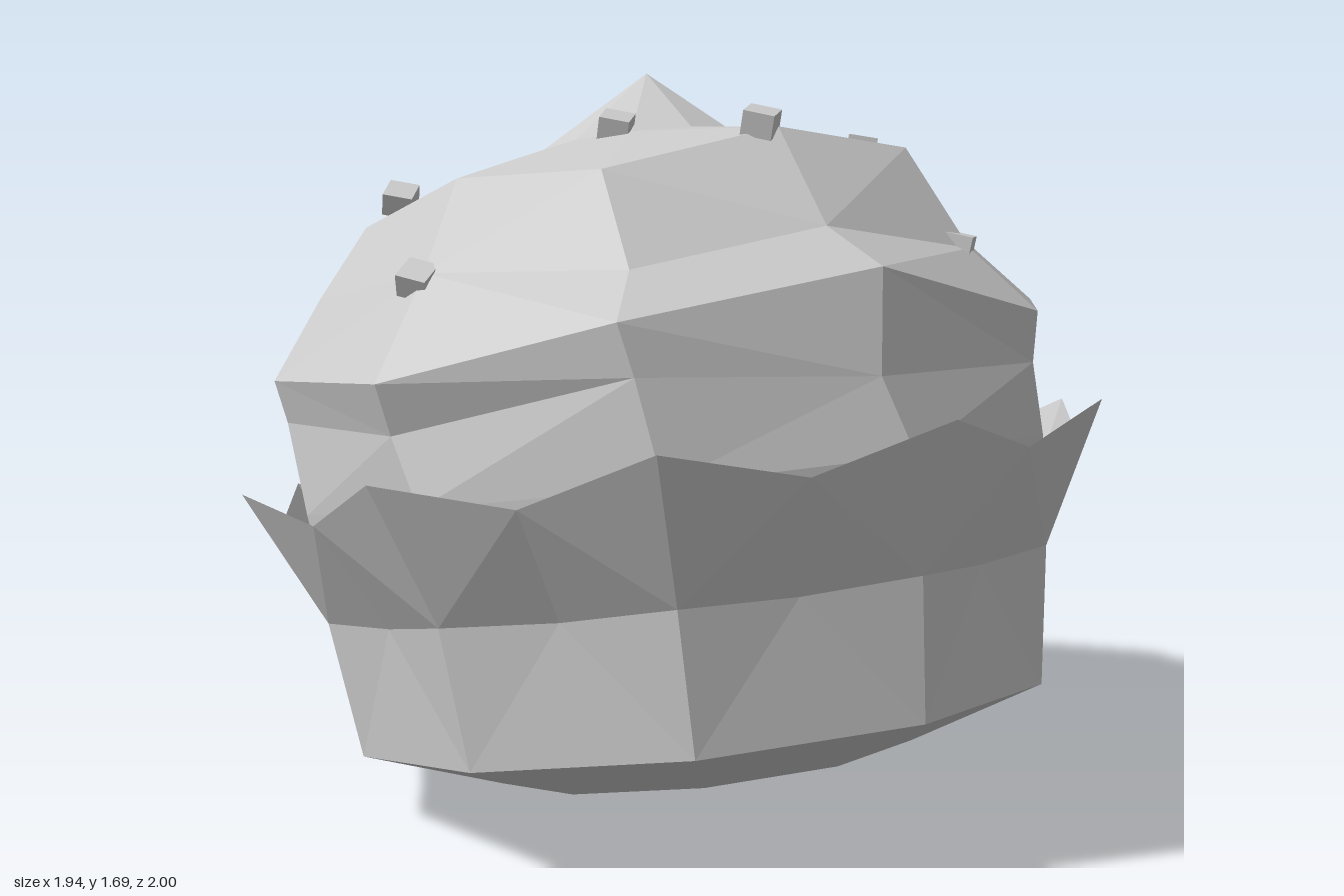
import * as THREE from 'three';

const grey = new THREE.MeshStandardMaterial({ color: 0xcccccc, flatShading: true });
const thin = new THREE.MeshStandardMaterial({ color: 0xcccccc, flatShading: true, side: THREE.DoubleSide });

// The whole cake leans backwards
const lean = new THREE.Matrix4().makeRotationX(-0.197).setPosition(0, 0.033, 0.167);

// Leaning ring of n corners, starting at the front and turning towards +x;
// odd corners can have their own radius and height
function ring(n, r, y, rOdd = r, yOdd = y) {
  return Array.from({ length: n }, (_, i) => {
    const a = (i / n) * Math.PI * 2, odd = i % 2, rad = odd ? rOdd : r;
    return new THREE.Vector3(Math.sin(a) * rad, odd ? yOdd : y, Math.cos(a) * rad).applyMatrix4(lean);
  });
}

const points = (list) => list.map((p) => new THREE.Vector3(...p));

// Skin joining equal-sized rings, listed from bottom to top
function loft(name, rings, material) {
  const pos = [];
  const n = rings[0].length;
  for (let k = 0; k < rings.length - 1; k++) {
    const lo = rings[k], up = rings[k + 1];
    for (let i = 0; i < n; i++) {
      const j = (i + 1) % n;
      // Split each quad along its shorter diagonal
      const quad = lo[i].distanceTo(up[j]) < lo[j].distanceTo(up[i])
        ? [lo[i], lo[j], up[j], lo[i], up[j], up[i]]
        : [lo[i], lo[j], up[i], lo[j], up[j], up[i]];
      for (const p of quad) pos.push(p.x, p.y, p.z);
    }
  }
  const g = new THREE.BufferGeometry();
  g.setAttribute('position', new THREE.Float32BufferAttribute(pos, 3));
  g.computeVertexNormals();
  const mesh = new THREE.Mesh(g, material);
  mesh.name = name;
  return mesh;
}

export function createModel() {
  const group = new THREE.Group();
  group.name = 'cupcake';

  // Paper wrapper: pleated sides flaring to a pointed zigzag edge
  const flat = Math.cos(Math.PI / 10);
  group.add(loft('wrapper', [
    ring(20, 0.001, 0.067),
    ring(20, 0.5, 0.067, 0.5 * flat),
    ring(20, 0.815, 0.178, 0.815 * flat),
    ring(20, 0.86, 0.49, 0.8, 0.48),
    ring(20, 1.02, 0.805, 0.95, 0.725),
  ], thin));

  // Uneven rings of the frosting swirl, from the underside of the overhang to the top edge
  const under = points([
    [-0.04, 1.09, 0.82], [0.5, 1.06, 0.7], [0.82, 0.98, 0.3], [0.86, 0.94, -0.26], [0.56, 0.79, -0.71],
    [0, 0.75, -0.87], [-0.48, 0.81, -0.71], [-0.82, 0.9, -0.37], [-0.85, 0.955, 0.2], [-0.545, 1.11, 0.66],
  ]);
  const wide = points([
    [0, 1.31, 0.77], [0.51, 1.175, 0.7], [0.84, 1.145, 0.33], [0.88, 1.04, -0.24], [0.58, 0.88, -0.76],
    [0, 0.81, -0.98], [-0.5, 0.89, -0.76], [-0.85, 1.0, -0.37], [-0.89, 1.07, 0.21], [-0.57, 1.22, 0.635],
  ]);
  const waist = points([
    [-0.03, 1.385, 0.62], [0.42, 1.31, 0.57], [0.71, 1.31, 0.19], [0.77, 1.21, -0.26], [0.48, 1.1, -0.67],
    [0, 1.06, -0.84], [-0.43, 1.11, -0.72], [-0.73, 1.18, -0.37], [-0.71, 1.28, 0.1], [-0.47, 1.31, 0.53],
  ]);
  const brim = points([
    [0, 1.585, 0.41], [0.355, 1.53, 0.42], [0.56, 1.48, 0.06], [0.655, 1.36, -0.27], [0.43, 1.3, -0.62],
    [0.04, 1.31, -0.7], [-0.35, 1.3, -0.67], [-0.61, 1.34, -0.365], [-0.56, 1.47, -0.02], [-0.43, 1.505, 0.365],
  ]);

  // Foot of the peak
  const foot = Array.from({ length: 10 }, (_, i) => {
    const a = (i / 10) * Math.PI * 2, dz = Math.cos(a) * 0.22;
    return new THREE.Vector3(Math.sin(a) * 0.23, 1.53 + dz * 0.2, -0.14 + dz);
  });
  const tip = foot.map(() => new THREE.Vector3(0.065, 1.69, -0.2));

  group.add(loft('frostingBase', [ring(10, 0.85, 0.5), ring(10, 0.88, 0.74), under], grey));
  group.add(loft('frostingSwirl', [under, wide, waist, brim, foot], grey));
  group.add(loft('frostingPeak', [foot, tip], grey));

  // Sugar sprinkles
  const sprinkles = [
    [-0.39, 1.22, -0.7], [0.48, 1.13, -0.67], [0.01, 1.46, -0.42], [-0.51, 1.4, -0.38], [-0.16, 1.575, 0.01],
    [-0.72, 1.265, 0.09], [0.53, 1.51, 0.05], [-0.04, 1.595, 0.4], [0.4, 1.315, 0.55],
  ];
  const box = new THREE.BoxGeometry(0.07, 0.055, 0.07);
  sprinkles.forEach(([x, y, z], i) => {
    const s = new THREE.Mesh(box, grey);
    s.name = 'sprinkle' + (i + 1);
    s.position.set(x, y, z);
    s.rotation.set(0.25, 0.75 + 0.15 * Math.sin(i * 2.3), -x * 0.5);
    group.add(s);
  });

  return group;
}
